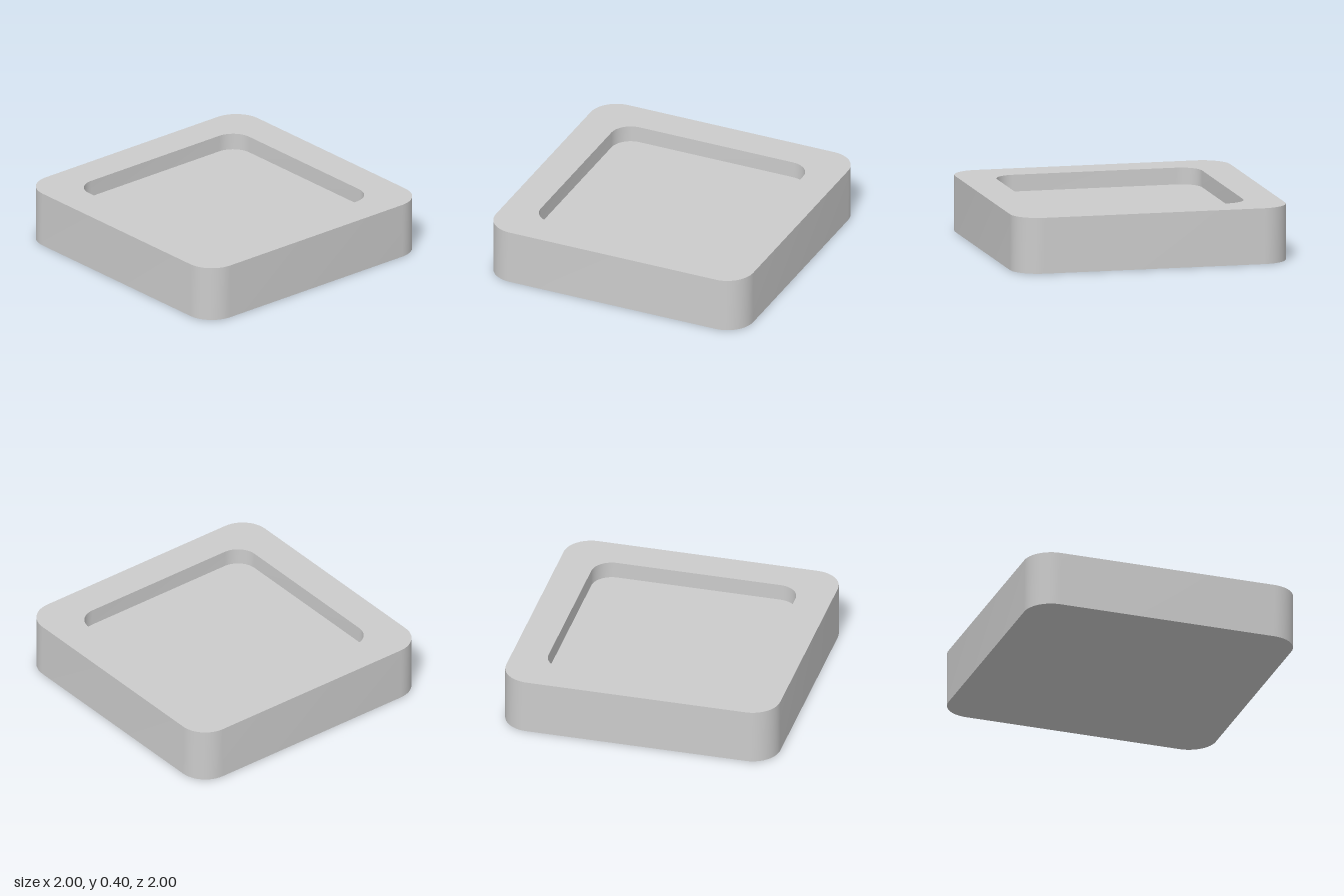
import * as THREE from 'three';
import { toCreasedNormals } from 'three/addons/utils/BufferGeometryUtils.js';

const HEIGHT = 0.4, FLOOR = 0.28;

// Rounded square outline, counter-clockwise, h = half width
function roundedSquare(h, r) {
  const pts = [];
  const c = h - r, steps = 12;
  for (let q = 0; q < 4; q++) {
    const mid = Math.PI / 4 + q * Math.PI / 2;
    const cx = c * Math.sign(Math.cos(mid)), cy = c * Math.sign(Math.sin(mid));
    for (let i = 0; i <= steps; i++) {
      const a = (q + i / steps) * Math.PI / 2;
      pts.push(new THREE.Vector2(cx + r * Math.cos(a), cy + r * Math.sin(a)));
    }
  }
  return pts;
}

// Upright band along an outline, facing outward or inward
function wall(pts, y0, y1, inward) {
  const pos = [];
  pts.forEach((p, i) => {
    const n = pts[(i + 1) % pts.length];
    const [a, b] = inward ? [n, p] : [p, n];
    pos.push(a.x, y0, -a.y, b.x, y0, -b.y, b.x, y1, -b.y);
    pos.push(a.x, y0, -a.y, b.x, y1, -b.y, a.x, y1, -a.y);
  });
  const g = new THREE.BufferGeometry();
  g.setAttribute('position', new THREE.Float32BufferAttribute(pos, 3));
  return toCreasedNormals(g, 0.6);
}

// Horizontal plate at height y, facing up or down
function plate(pts, y, up, hole) {
  const shape = new THREE.Shape(pts);
  if (hole) shape.holes.push(new THREE.Path(hole));
  return new THREE.ShapeGeometry(shape).rotateX(up ? -Math.PI / 2 : Math.PI / 2).translate(0, y, 0);
}

export function createModel() {
  const group = new THREE.Group();
  group.name = 'tray';
  const material = new THREE.MeshStandardMaterial({ color: 0xcccccc });
  const add = (name, geometry) => {
    const mesh = new THREE.Mesh(geometry, material);
    mesh.name = name;
    group.add(mesh);
  };

  const outer = roundedSquare(1, 0.2);
  const inner = roundedSquare(0.745, 0.15);

  add('outerWall', wall(outer, 0, HEIGHT, false));
  add('rim', plate(outer, HEIGHT, true, inner));
  add('recessWall', wall(inner, FLOOR, HEIGHT, true));
  add('recessFloor', plate(inner, FLOOR, true));
  add('underside', plate(outer, 0, false));
  return group;
}
